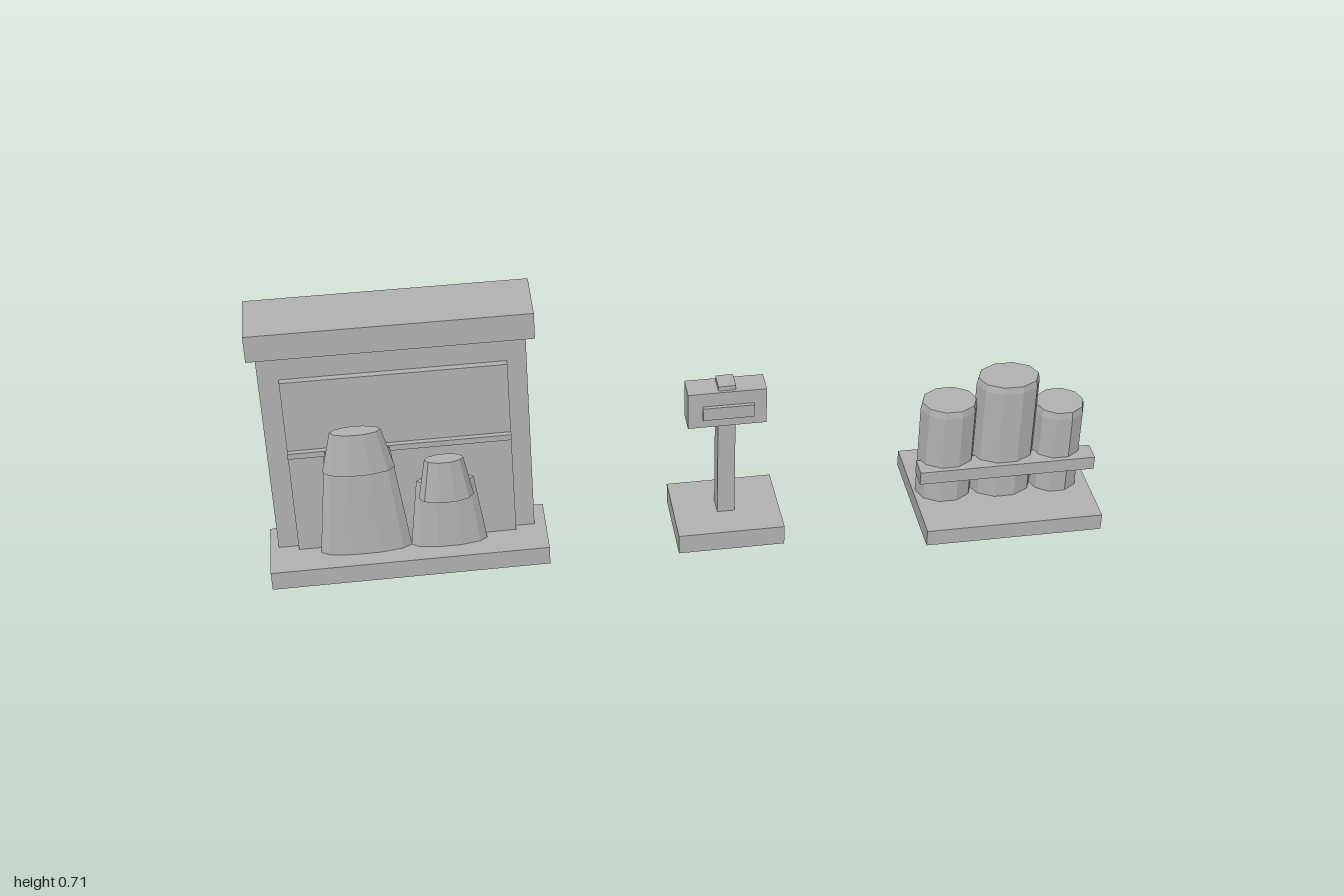
import * as THREE from 'three';

export function createModel() {
  const model = new THREE.Group();
  const grey = new THREE.MeshStandardMaterial({ color: 0xb2b2b2, flatShading: true });
  grey.name = 'plain grey';

  const group = (name) => {
    const g = new THREE.Group();
    g.name = name;
    model.add(g);
    return g;
  };

  const add = (parent, name, geometry) => {
    const mesh = new THREE.Mesh(geometry, grey);
    mesh.name = name;
    parent.add(mesh);
  };

  // Box given by its extent on each axis
  const box = (parent, name, [x0, x1], [y0, y1], [z0, z1]) => {
    const g = new THREE.BoxGeometry(x1 - x0, y1 - y0, z1 - z0);
    g.translate((x0 + x1) / 2, (y0 + y1) / 2, (z0 + z1) / 2);
    add(parent, name, g);
  };

  // Closed ten-sided oval column; rings are [scale, y] from bottom to top
  const column = (parent, name, x, z, rx, rz, rings) => {
    const points = [
      new THREE.Vector2(0, rings[0][1]),
      ...rings.map(([s, y]) => new THREE.Vector2(s, y)),
      new THREE.Vector2(0, rings[rings.length - 1][1]),
    ];
    const g = new THREE.LatheGeometry(points, 10);
    g.rotateY(Math.PI / 2);
    g.scale(rx, 1, rz);
    g.translate(x, 0, z);
    add(parent, name, g);
  };

  // Display board with cap, inset panel, rail and ledge
  const board = group('displayBoard');
  box(board, 'boardBody', [-0.98, -0.375], [0.025, 0.635], [-0.057, 0.058]);
  box(board, 'boardCap', [-1, -0.355], [0.639, 0.707], [-0.073, 0.073]);
  box(board, 'boardPanel', [-0.933, -0.42], [0.09, 0.575], [0.05, 0.073]);
  box(board, 'boardRail', [-0.933, -0.42], [0.37, 0.385], [0.06, 0.085]);
  box(board, 'boardLedge', [-1, -0.348], [0.046, 0.095], [-0.015, 0.152]);

  // Two tapered figures standing on the ledge
  const figures = [
    ['large', -0.775, 0.107, 0.385, 0.7, 0.083, 0.345, 0.455],
    ['small', -0.58, 0.09, 0.28, 0.74, 0.064, 0.245, 0.355],
  ];
  for (const [size, x, bodyR, bodyTop, taper, headR, headY, headTop] of figures) {
    column(board, size + 'FigureBody', x, 0.091, bodyR, 0.021, [[1, 0.092], [taper, bodyTop]]);
    column(board, size + 'FigureHead', x, 0.112, headR, 0.026, [[1, headY], [0.7, headTop]]);
  }

  // Small sign on a post
  const sign = group('signPost');
  box(sign, 'signBase', [-0.033, 0.225], [0, 0.052], [-0.103, 0.105]);
  box(sign, 'signPole', [0.073, 0.115], [0.052, 0.425], [-0.023, 0.024]);
  box(sign, 'signHead', [0, 0.188], [0.316, 0.413], [-0.029, 0.031]);
  box(sign, 'signPlaque', [0.035, 0.157], [0.342, 0.376], [0.025, 0.04]);

  // Row of upright columns on a slab, with a front rail
  const stand = group('columnStand');
  box(stand, 'standBase', [0.565, 1], [0, 0.043], [-0.162, 0.164]);
  box(stand, 'standRail', [0.565, 1], [0.111, 0.146], [0.015, 0.066]);
  for (const [name, x, r, top] of [
    ['rightColumn', 0.641, 0.07, 0.31],
    ['middleColumn', 0.783, 0.078, 0.368],
    ['leftColumn', 0.917, 0.062, 0.278],
  ]) {
    column(stand, name, x, 0, r, 0.057, [[1, 0.042], [1, top - 0.018], [0.95, top]]);
  }

  return model;
}
